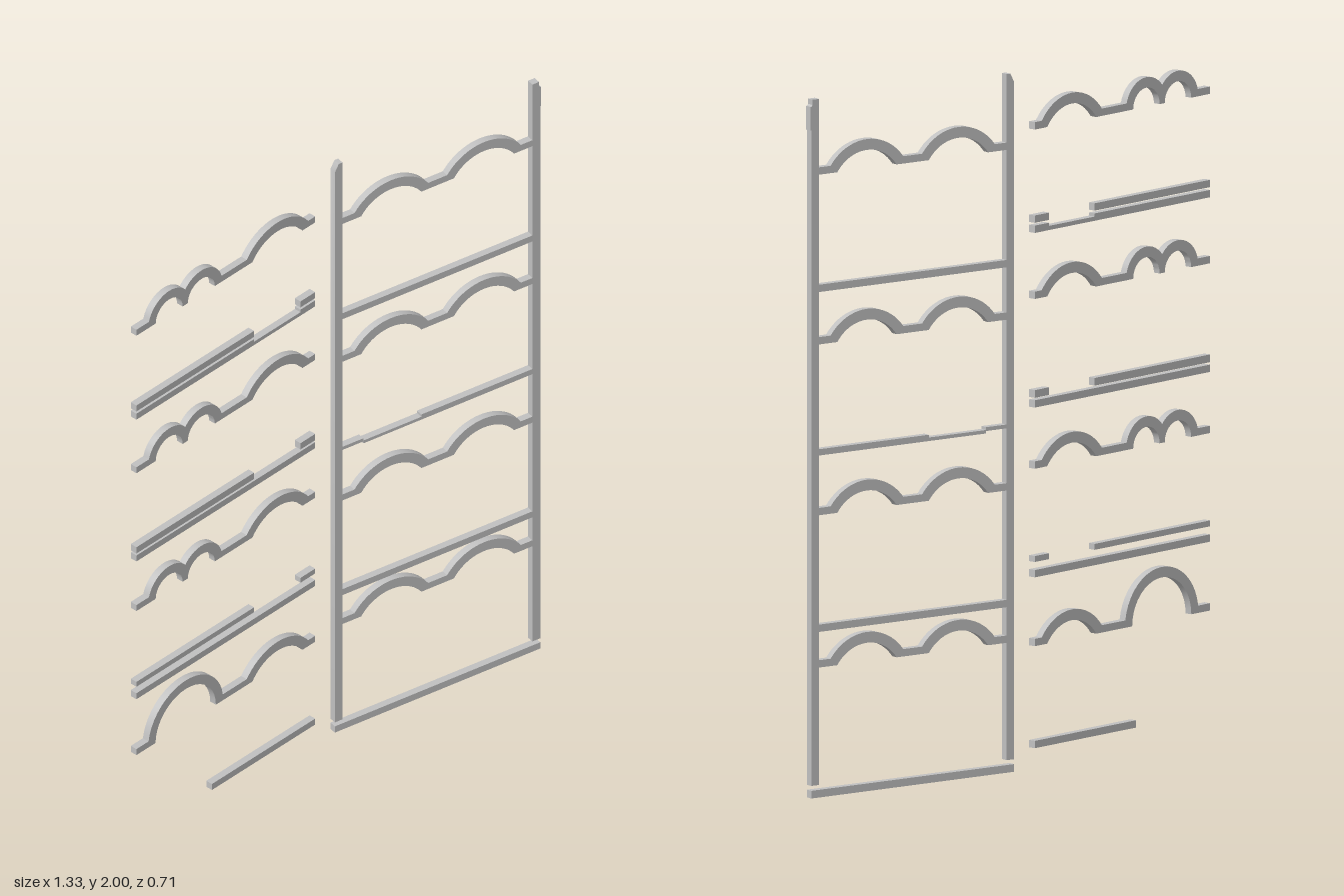
import * as THREE from 'three';
import { toCreasedNormals } from 'three/addons/utils/BufferGeometryUtils.js';

const DEPTH = 0.022; // thickness of both panels
const STRIP = 0.021; // height of the flat strip joining the arches

export function createModel() {
  const model = new THREE.Group();
  const grey = new THREE.MeshStandardMaterial({ color: 0xc0c0c0 });
  grey.name = 'lightGrey';

  // A slanted upright plane; parts are placed by x and y along it
  function makePanel(name, x0, z0, x1, z1) {
    const group = new THREE.Group();
    group.name = name;
    group.position.set(x0, 0, z0);
    group.rotation.y = Math.atan2(z0 - z1, x1 - x0);
    model.add(group);
    const length = Math.hypot(x1 - x0, z1 - z0);
    const u = (x) => ((x - x0) / (x1 - x0)) * length;

    function addShape(partName, points, y = 0) {
      const geo = new THREE.ExtrudeGeometry(new THREE.Shape(points), { depth: DEPTH, bevelEnabled: false });
      geo.translate(0, y, -DEPTH / 2);
      const mesh = new THREE.Mesh(toCreasedNormals(geo, 0.6), grey);
      mesh.name = partName;
      group.add(mesh);
    }

    function bar(partName, xa, xb, ya, yb) {
      const w = u(xb) - u(xa);
      const mesh = new THREE.Mesh(new THREE.BoxGeometry(w, yb - ya, DEPTH), grey);
      mesh.name = partName;
      mesh.position.set(u(xa) + w / 2, (ya + yb) / 2, 0);
      group.add(mesh);
    }

    // Straight-edged outline given in x, y
    const plate = (partName, corners) =>
      addShape(partName, corners.map(([x, y]) => new THREE.Vector2(u(x), y)));

    // Strip from xa to xb with arches: x centre, inner radius r, circle centre height c, band width w
    function archStrip(partName, xa, xb, y, arches) {
      const steps = 20;
      const pts = [];
      const arc = (cx, cy, r, from, to) => {
        for (let i = 0; i <= steps; i++) {
          const a = from + ((to - from) * i) / steps;
          pts.push(new THREE.Vector2(cx + r * Math.sin(a), cy + r * Math.cos(a)));
        }
      };
      // underside, left to right
      pts.push(new THREE.Vector2(u(xa), 0));
      for (const { x, r, c } of arches) {
        const a = Math.acos(-c / r);
        arc(u(x), c, r, -a, a);
      }
      pts.push(new THREE.Vector2(u(xb), 0), new THREE.Vector2(u(xb), STRIP));
      // top side, right to left, neighbouring arches meet halfway
      for (let i = arches.length - 1; i >= 0; i--) {
        const { x, r, c, w } = arches[i];
        const R = r + w;
        const half = Math.sqrt(R * R - (STRIP - c) ** 2);
        const limit = (other) =>
          Math.asin(Math.min(half, other ? Math.abs(u(other.x) - u(x)) / 2 : half) / R);
        arc(u(x), c, R, limit(arches[i + 1]), -limit(arches[i - 1]));
      }
      pts.push(new THREE.Vector2(u(xa), STRIP));
      addShape(partName, pts, y);
    }
    return { bar, plate, archStrip };
  }

  const lowArch = (x) => ({ x, r: 0.125, c: -0.072, w: 0.031 });
  const roundArch = (x, r) => ({ x, r, c: 0, w: 0.03 });

  // Framed panel on the left
  const L = 0.0095, R = 0.659, inL = 0.034, inR = 0.634;
  const frame = makePanel('framedPanel', L, -0.088, R, -0.345);
  frame.bar('bottomBar', L, R, 0, 0.022);
  frame.plate('innerPost', [[L, 0.036], [inL, 0.036], [inL, 2], [0.022, 2], [L, 1.975]]);
  frame.plate('outerPost', [[inR, 0.036], [R, 0.036], [R, 1.98], [0.655, 1.985], [0.655, 2], [inR, 2]]);
  frame.bar('postCatch', R, 0.662, 1.912, 1.98);
  for (const y of [1.783, 1.297, 0.808, 0.372]) {
    frame.archStrip('doubleArch', inL, inR, y, [lowArch(0.188), lowArch(0.481)]);
  }
  frame.bar('upperRail', inL, inR, 1.447, 1.468);
  frame.bar('lowerRail', inL, inR, 0.474, 0.495);
  frame.plate('notchedRail', [
    [inL, 0.986], [0.1, 0.986], [0.1, 0.979], [inR, 0.979],
    [inR, 0.997], [0.283, 0.997], [0.283, 0.989], [0.1, 0.989], [0.1, 0.997], [inL, 0.997],
  ]);

  // Open panel on the right, made of separate strips
  const a = -0.661, b = -0.055, gapA = -0.262, gapB = -0.105;
  const open = makePanel('openPanel', a, 0.346, b, -0.06);
  for (const y of [1.83, 1.345, 0.859]) {
    open.archStrip('tripleArch', a, b, y, [roundArch(-0.55, 0.055), roundArch(-0.441, 0.055), lowArch(-0.183)]);
  }
  open.archStrip('bigArch', a, b, 0.351, [roundArch(-0.494, 0.123), lowArch(-0.183)]);

  // Split upper shelf strips
  for (const [y0, y1] of [[1.563, 1.584], [1.062, 1.084], [0.592, 0.609]]) {
    open.bar('longShelfStrip', a, gapA, y0, y1);
    open.bar('shortShelfStrip', gapB, b, y0, y1);
  }
  // Continuous lower shelf strips, the top one thinned in the gap
  open.plate('notchedShelf', [
    [a, 1.534], [b, 1.534], [b, 1.555], [gapB, 1.555],
    [gapB, 1.546], [gapA, 1.546], [gapA, 1.555], [a, 1.555],
  ]);
  open.bar('middleShelf', a, b, 1.034, 1.055);
  open.bar('lowerShelf', a, b, 0.548, 0.569);
  open.bar('bottomStrip', -0.405, b, 0.059, 0.08);

  return model;
}
